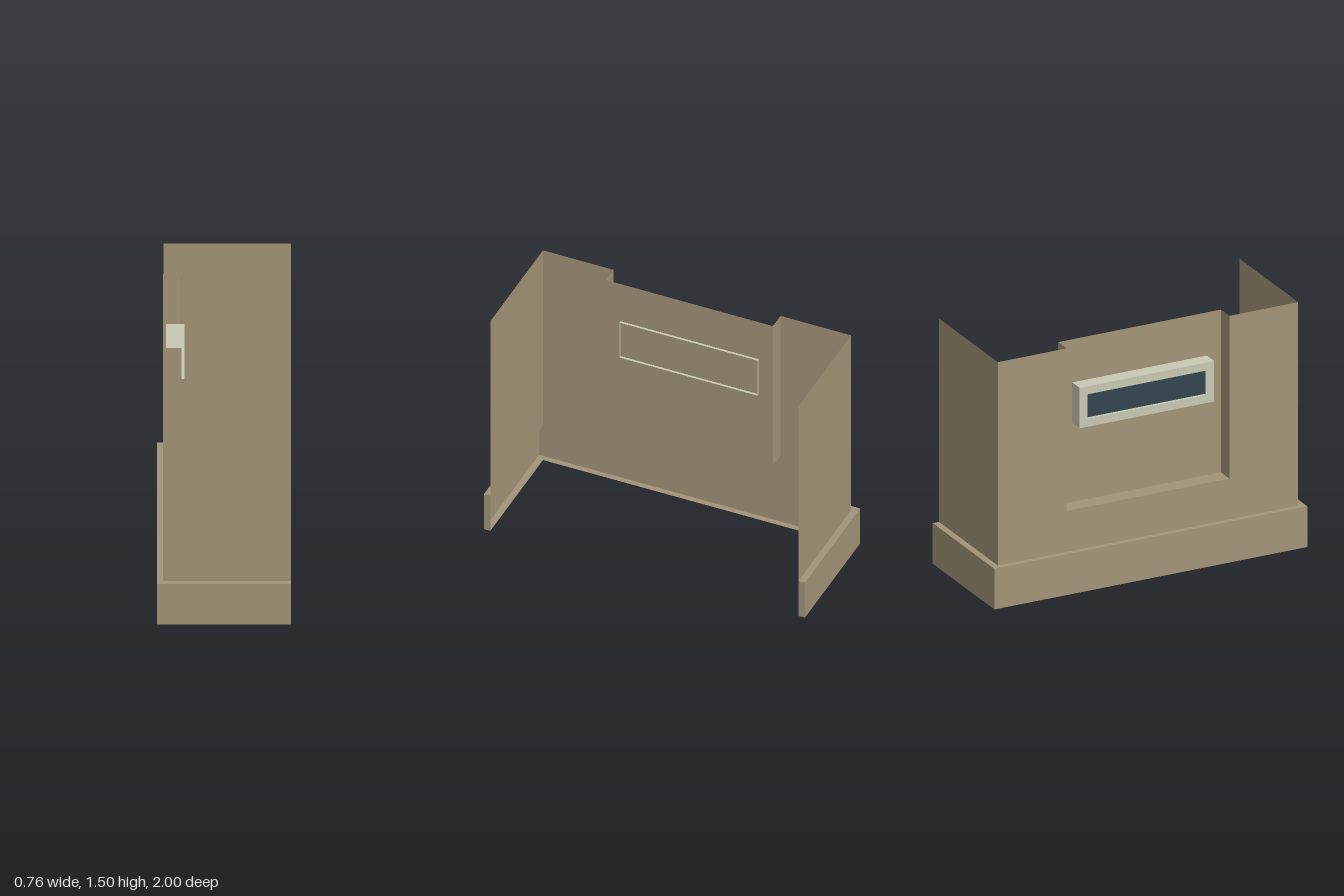
import * as THREE from 'three';

export function createModel() {
  const mat = (name, color) => new THREE.MeshStandardMaterial({ name, color, side: THREE.DoubleSide });
  const plaster = mat('plaster', 0xa39478);
  const trim = mat('paleTrim', 0xc8cab4);
  const glass = mat('darkGlass', 0x33444f);

  const model = new THREE.Group();
  model.name = 'wallBay';
  const group = (name) => {
    const g = new THREE.Group();
    g.name = name;
    model.add(g);
    return g;
  };
  const add = (parent, name, geometry, material) => {
    const m = new THREE.Mesh(geometry, material);
    m.name = name;
    parent.add(m);
    return m;
  };
  const outline = (pts, C = THREE.Shape) => new C(pts.map(([a, b]) => new THREE.Vector2(a, b)));
  const rect = (a0, b0, a1, b1, C) => outline([[a0, b0], [a1, b0], [a1, b1], [a0, b1]], C);

  // Flat panels facing along each axis; the shape is drawn in (x,y), (z,y) or (x,z)
  const panelZ = (p, name, shape, z, m) =>
    add(p, name, new THREE.ShapeGeometry(shape).translate(0, 0, z), m);
  const panelX = (p, name, shape, x, m) =>
    add(p, name, new THREE.ShapeGeometry(shape).rotateY(-Math.PI / 2).translate(x, 0, 0), m);
  const panelY = (p, name, shape, y, m) =>
    add(p, name, new THREE.ShapeGeometry(shape).rotateX(Math.PI / 2).translate(0, y, 0), m);

  const wallX = -0.345, wallZ = 0.96, end = 0.38, top = 1.5, base = 0.25;
  const baseX = -0.38, baseZ = 1;
  const nicheX = -0.24, nicheZ = 0.52, nicheY = 0.5;

  // Thin walls, the long one notched for the niche
  const walls = group('walls');
  panelX(walls, 'longWall', outline([
    [-wallZ, base], [wallZ, base], [wallZ, top], [nicheZ, top],
    [nicheZ, nicheY], [-nicheZ, nicheY], [-nicheZ, top], [-wallZ, top],
  ]), wallX, plaster);
  for (const s of [-1, 1])
    panelZ(walls, 'endWall', rect(wallX, base, end, top), s * wallZ, plaster);

  // Open-topped niche
  const niche = group('niche');
  panelX(niche, 'nicheBack', rect(-nicheZ, nicheY, nicheZ, top), nicheX, plaster);
  panelY(niche, 'nicheFloor', rect(wallX, -nicheZ, nicheX, nicheZ), nicheY, plaster);
  for (const s of [-1, 1])
    panelZ(niche, 'nicheSide', rect(wallX, nicheY, nicheX, top), s * nicheZ, plaster);

  // Hollow plinth, open on its inner side
  const plinth = group('plinth');
  const ledge = outline([
    [end, -baseZ], [baseX, -baseZ], [baseX, baseZ], [end, baseZ],
    [end, wallZ], [wallX, wallZ], [wallX, -wallZ], [end, -wallZ],
  ]);
  for (const y of [0, base]) panelY(plinth, y ? 'plinthTop' : 'plinthBottom', ledge, y, plaster);
  panelX(plinth, 'plinthLongFace', rect(-baseZ, 0, baseZ, base), baseX, plaster);
  for (const s of [-1, 1]) {
    panelZ(plinth, 'plinthEndFace', rect(baseX, 0, end, base), s * baseZ, plaster);
    panelX(plinth, 'plinthCap', rect(s * wallZ, 0, s * baseZ, base), end, plaster);
  }

  // Window: frame sleeve through the niche back, front ring, reveal and pane
  const win = group('window');
  const front = -0.33, back = -0.225, pane = -0.312;
  const w = 0.43, y0 = 0.985, y1 = 1.235, b = 0.05;
  const sleeve = (name, x0, x1, hw, lo, hi) => {
    for (const y of [lo, hi]) panelY(win, name, rect(x0, -hw, x1, hw), y, trim);
    for (const s of [-1, 1]) panelZ(win, name, rect(x0, lo, x1, hi), s * hw, trim);
  };
  sleeve('frameSide', front, back, w, y0, y1);
  sleeve('frameReveal', front, pane, w - b, y0 + b, y1 - b);
  const ring = rect(-w, y0, w, y1);
  ring.holes.push(rect(-w + b, y0 + b, w - b, y1 - b, THREE.Path));
  panelX(win, 'frameFront', ring, front, trim);
  panelX(win, 'windowPane', rect(-w + b, y0 + b, w - b, y1 - b), pane, glass);

  return model;
}
